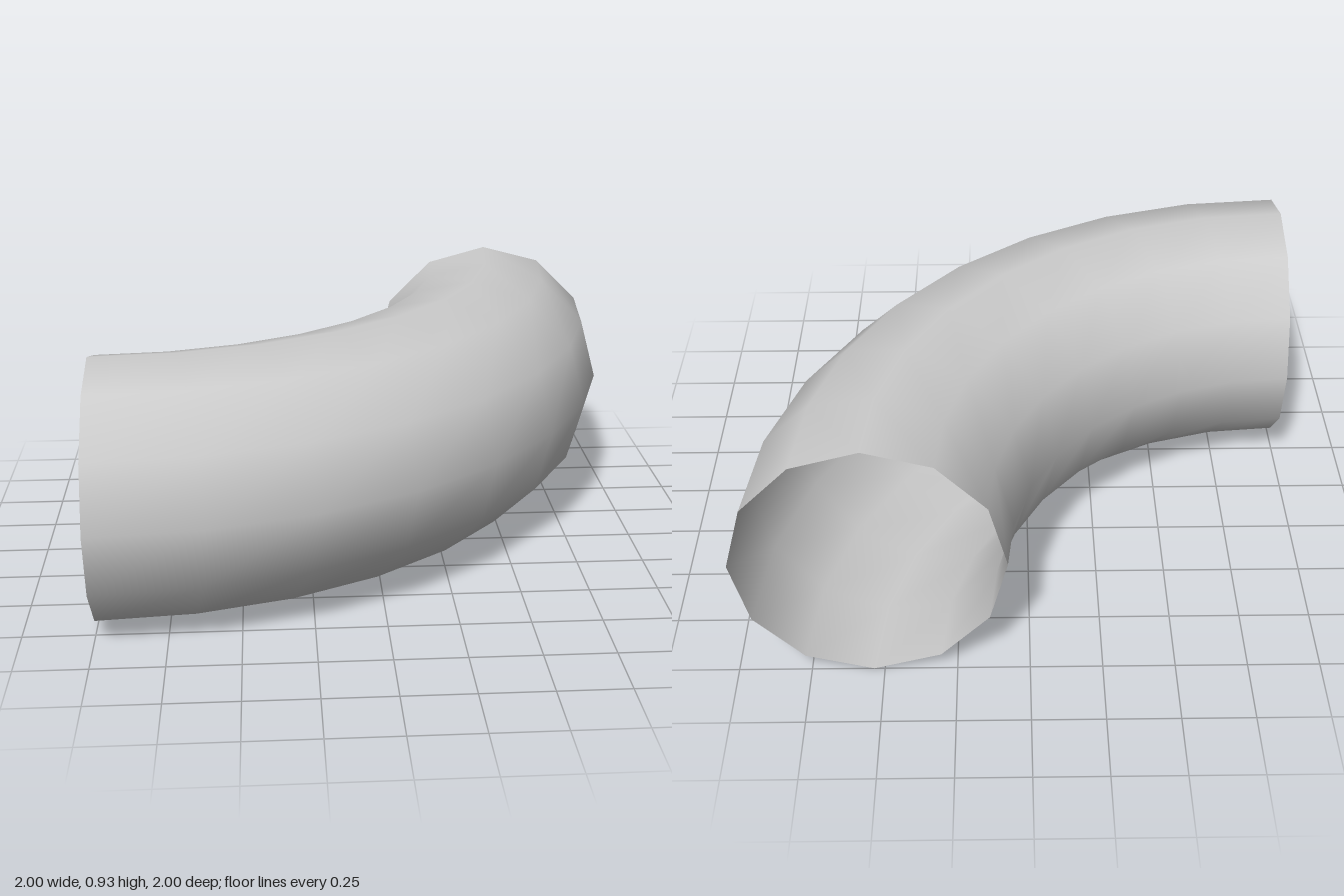
import * as THREE from 'three';

export function createModel() {
  const model = new THREE.Group();
  const tubeRadius = 0.463;
  const bendRadius = 2 - tubeRadius;

  // Open quarter-turn pipe: 12 sides around, 8 segments along the bend
  const geometry = new THREE.TorusGeometry(bendRadius, tubeRadius, 12, 8, Math.PI / 2);
  geometry.rotateX(Math.PI / 2); // lay flat, bending from +x to +z
  geometry.translate(-1, tubeRadius, -1);

  const material = new THREE.MeshStandardMaterial({ color: 0xcccccc, side: THREE.DoubleSide });
  const pipe = new THREE.Mesh(geometry, material);
  pipe.name = 'pipeElbow';
  model.add(pipe);
  return model;
}
